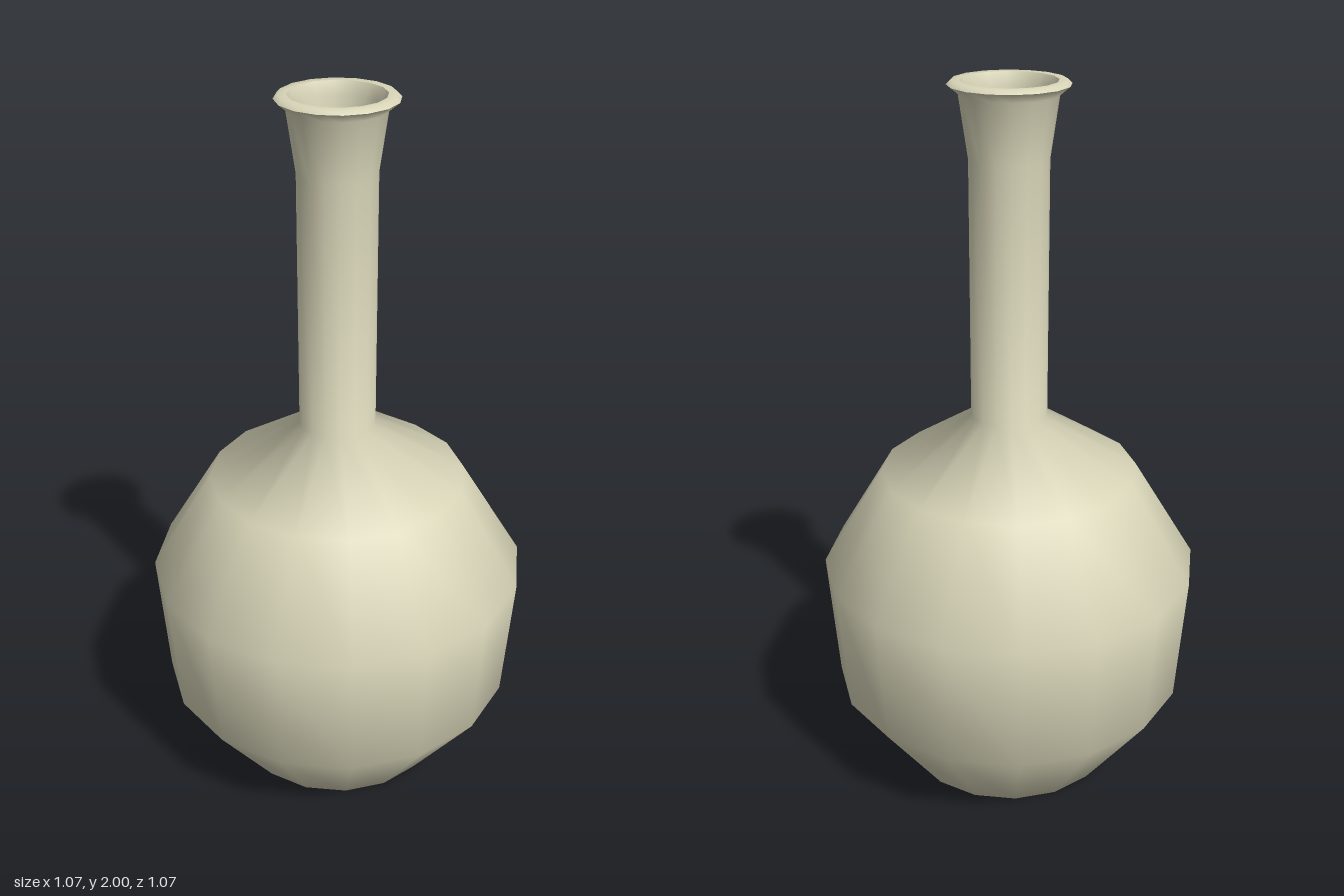
import * as THREE from 'three';

const SIDES = 16;

export function createModel() {
  const model = new THREE.Group();
  model.name = 'bottle';
  const clay = new THREE.MeshStandardMaterial({ color: 0xd8d5b8 });
  clay.name = 'pale clay';

  // Revolves a [radius, height] profile around the vertical axis
  const turn = (name, profile) => {
    const points = profile.map(([r, y]) => new THREE.Vector2(r, y));
    const mesh = new THREE.Mesh(new THREE.LatheGeometry(points, SIDES), clay);
    mesh.name = name;
    model.add(mesh);
  };

  // Outside: base, round belly, long neck and flared mouth
  turn('outerBody', [
    [0, 0], [0.305, 0], [0.505, 0.27], [0.533, 0.64], [0.36, 0.925],
    [0.106, 1.09], [0.106, 1.8], [0.13, 1.965], [0.16, 1.99],
  ]);

  // Lip around the opening
  turn('rim', [[0.16, 1.99], [0.15, 2], [0.127, 2]]);

  // Inside: neck bore opening into the hollow belly
  turn('innerWall', [
    [0.127, 2], [0.11, 1.965], [0.086, 1.8], [0.086, 1.08],
    [0.34, 0.905], [0.508, 0.635], [0.482, 0.28], [0.292, 0.025],
  ]);
  turn('innerFloor', [[0.292, 0.025], [0, 0.025]]);

  return model;
}
